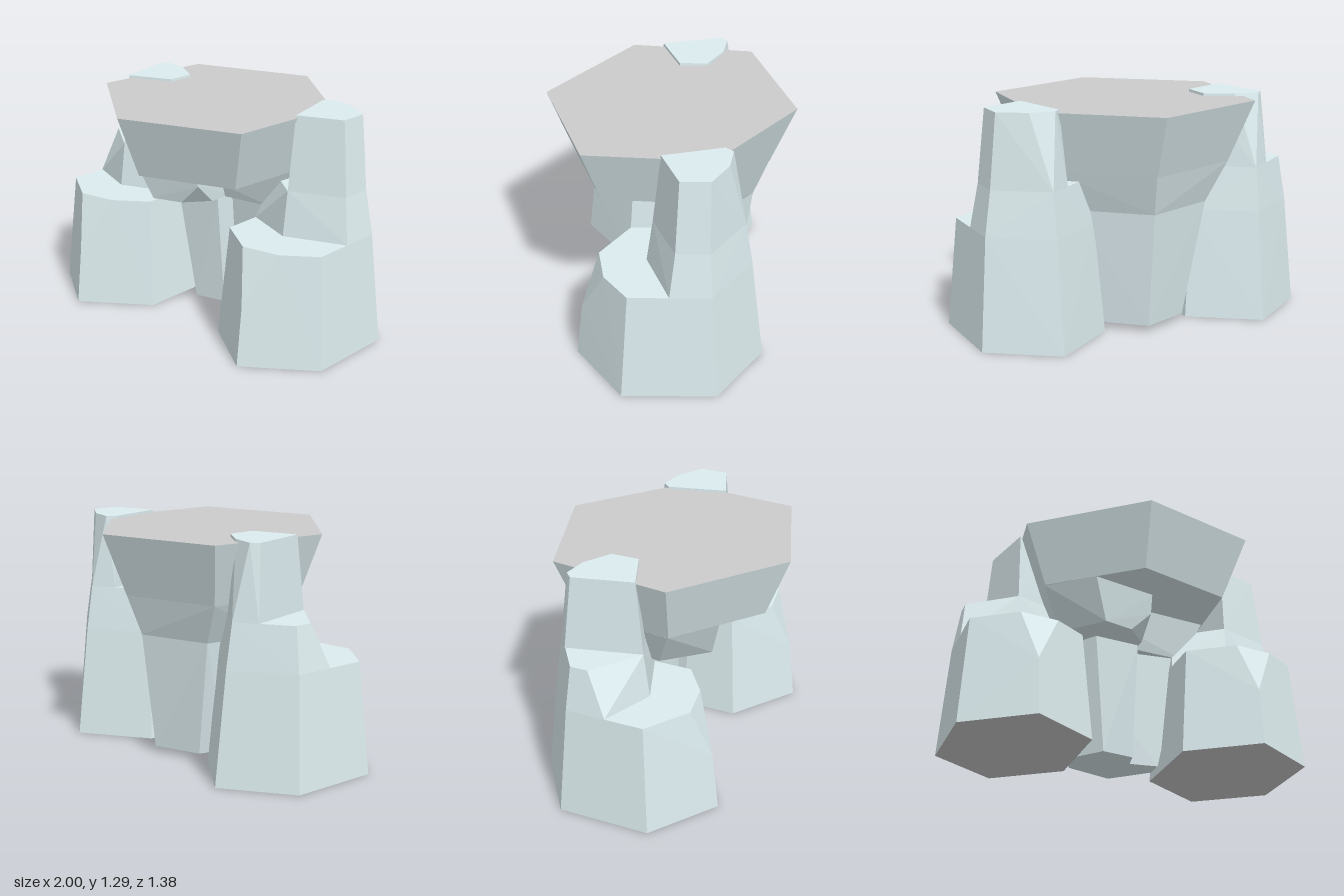
import * as THREE from 'three';
import { ConvexGeometry } from 'three/addons/geometries/ConvexGeometry.js';

const stone = new THREE.MeshStandardMaterial({ color: 0xdcecef });
const grey = new THREE.MeshStandardMaterial({ color: 0xcccccc });

// Places a list of [x, z] corners at height y
const ring = (y, corners) => corners.map(([x, z]) => new THREE.Vector3(x, y, z));
const scaled = (corners, s) => corners.map(([x, z]) => [x * s, z * s]);

// A faceted block; the flat face at height greyY (if given) is left grey
function block(name, points, greyY) {
  const geometry = new ConvexGeometry(points);
  const p = geometry.attributes.position;
  for (let i = 0; i < p.count; i += 3) {
    const flat = [0, 1, 2].every((k) => Math.abs(p.getY(i + k) - greyY) < 1e-4);
    geometry.addGroup(i, 3, flat ? 1 : 0);
  }
  const mesh = new THREE.Mesh(geometry, [stone, grey]);
  mesh.name = name;
  return mesh;
}

// Stepped side rock: wide base, middle ledge, narrow peak
function sideRock(name, x) {
  const g = new THREE.Group();
  g.name = name;
  const foot = [[0.37, -0.26], [0, -0.52], [-0.37, -0.26], [-0.37, 0.26], [0, 0.52], [0.37, 0.26]];
  const baseTop = [[0.32, -0.225], [0, -0.445], [-0.32, -0.225], [-0.32, 0.22],
    [-0.08, 0.385], [0.14, 0.35], [0.32, 0.22]];
  g.add(block('base', [...ring(0, foot), ...ring(0.33, [[0, 0.483]]), ...ring(0.63, baseTop)], 0));

  const ledgeFoot = [[0.32, 0], [0.32, -0.225], [0, -0.445], [-0.32, -0.225], [-0.32, 0], [-0.02, 0.125]];
  const ledgeTop = [[0.28, -0.03], [0.28, -0.21], [0, -0.405], [-0.28, -0.21], [-0.28, -0.11], [-0.02, 0.09]];
  g.add(block('ledge', [...ring(0.63, ledgeFoot), ...ring(0.88, ledgeTop)]));

  const peakFoot = [[0.28, -0.03], [0.28, -0.21], [0, -0.405], [-0.12, -0.325], [-0.02, 0.09]];
  const peakTop = [[0.24, -0.05], [0.24, -0.21], [0.09, -0.305], [-0.05, -0.33], [-0.09, -0.29], [-0.01, 0.045]];
  g.add(block('peak', [...ring(0.88, peakFoot), ...ring(1.295, peakTop)]));
  g.position.x = x;
  return g;
}

// Centre rock: broad flat slab on a tapering, notched stem
function centreRock() {
  const g = new THREE.Group();
  g.name = 'centreRock';
  const rim = [[0.11, -0.69], [-0.57, -0.47], [-0.65, 0.22], [-0.07, 0.69], [0.6, 0.46], [0.65, -0.23]];
  g.add(block('slab', [...ring(0.93, scaled(rim, 0.8)), ...ring(1.28, rim)], 1.28));

  // Rear of the neck
  const neckTop = [[0.52, -0.18], [0.09, -0.55], [-0.456, -0.376], [-0.52, 0.17], [0.09, 0.02], [0.5, 0]];
  const neckFoot = [[0.4, -0.17], [0.06, -0.47], [-0.34, -0.33], [-0.405, 0.07], [0.08, -0.06], [0.385, -0.04]];
  g.add(block('neckBack', [...ring(0.7, neckFoot), ...ring(0.93, neckTop)]));

  // Front of the neck, with a clipped lower corner
  const frontTop = [[-0.52, 0.17], [-0.28, 0.37], [0.09, 0.265], [0.09, 0], [-0.4, -0.05]];
  const frontFoot = [[-0.405, 0.07], [-0.2, 0.3], [-0.03, 0.245], [0.08, 0.11], [0.08, -0.06], [-0.36, -0.1]];
  g.add(block('neckFront', [...ring(0.7, frontFoot), ...ring(0.82, [[0.09, 0.24]]), ...ring(0.93, frontTop)]));

  // Stem, in two parts around the front notch
  const stemTop = [[0.4, -0.17], [0.06, -0.47], [-0.34, -0.33], [-0.31, -0.07], [0.08, -0.06], [0.385, -0.04]];
  const stemFoot = [[0.25, -0.21], [0.05, -0.39], [-0.22, -0.29], [-0.265, -0.14], [0.1, -0.12], [0.25, -0.1]];
  g.add(block('stemBack', [...ring(0.035, stemFoot), ...ring(0.7, stemTop)]));

  const ribTop = [[-0.31, -0.07], [-0.19, 0.1], [0.075, 0.06], [0.09, -0.08], [-0.2, -0.2]];
  const ribFoot = [[-0.265, -0.14], [-0.12, 0.03], [0.065, -0.01], [0.09, -0.13], [-0.1, -0.2]];
  g.add(block('stemFront', [...ring(0.035, ribFoot), ...ring(0.7, ribTop)]));
  return g;
}

export function createModel() {
  const model = new THREE.Group();
  model.name = 'rockFormation';
  model.add(sideRock('leftRock', 0.63), sideRock('rightRock', -0.63), centreRock());
  return model;
}
